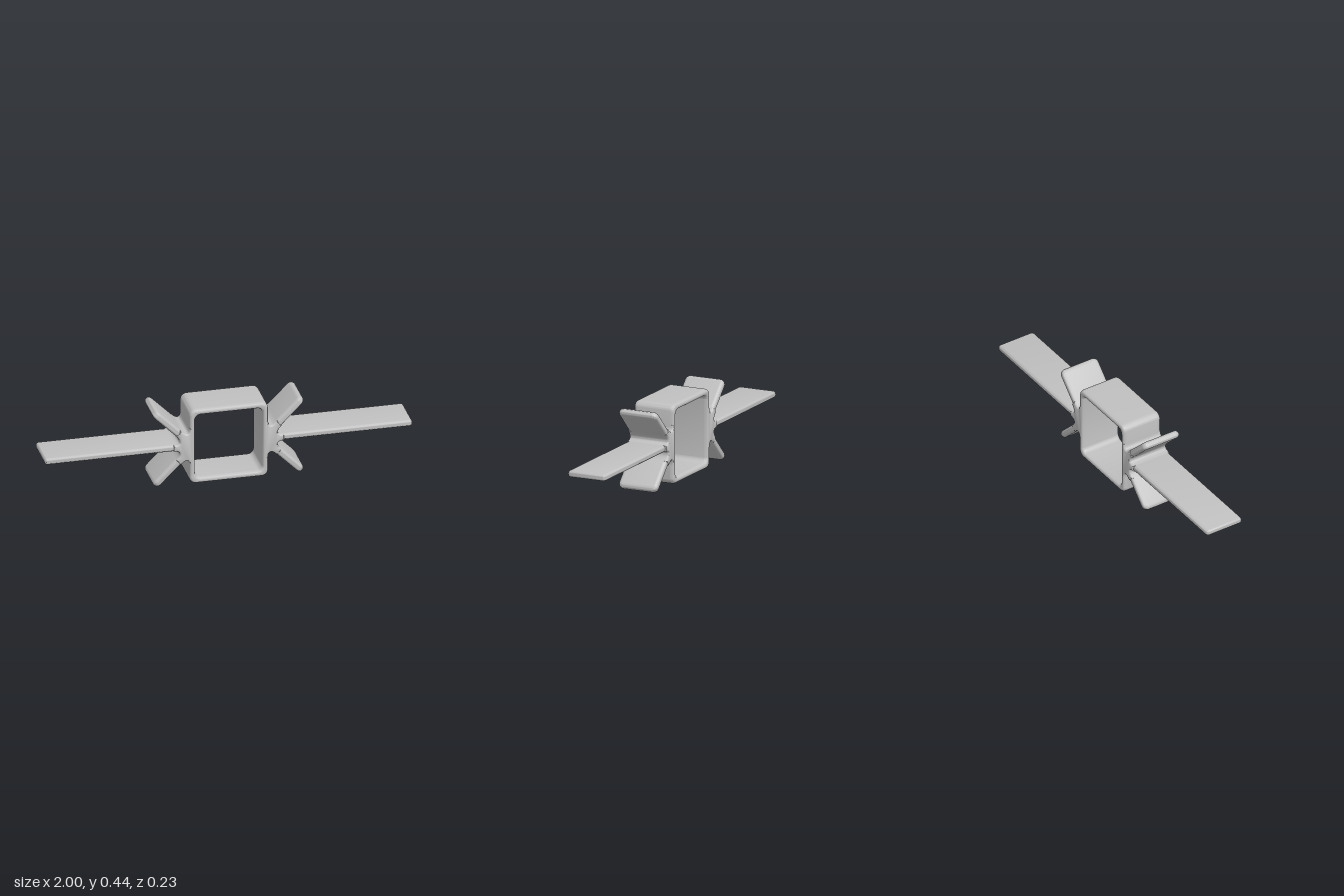
import * as THREE from 'three';
import { toCreasedNormals } from 'three/addons/utils/BufferGeometryUtils.js';

const MID = 0.218; // height of the centre line

function roundedRect(target, x0, y0, x1, y1, r) {
  target.moveTo(x0 + r, y0);
  target.lineTo(x1 - r, y0);
  target.absarc(x1 - r, y0 + r, r, -Math.PI / 2, 0);
  target.lineTo(x1, y1 - r);
  target.absarc(x1 - r, y1 - r, r, 0, Math.PI / 2);
  target.lineTo(x0 + r, y1);
  target.absarc(x0 + r, y1 - r, r, Math.PI / 2, Math.PI);
  target.lineTo(x0, y0 + r);
  target.absarc(x0 + r, y0 + r, r, Math.PI, Math.PI * 1.5);
  return target;
}

// Extrude centred on z, with a soft rim that stays inside the outline
function softExtrude(shape, depth, rimSize, rimDepth) {
  const geo = new THREE.ExtrudeGeometry(shape, {
    depth: depth - 2 * rimDepth, curveSegments: 8,
    bevelEnabled: true, bevelSegments: 5,
    bevelSize: rimSize, bevelThickness: rimDepth, bevelOffset: -rimSize,
  });
  geo.translate(0, 0, -depth / 2 + rimDepth);
  return toCreasedNormals(geo, 0.7);
}

// Flat blade lying along +x
function bladeGeometry(x0, x1, width, thickness, corner, rim) {
  const outline = roundedRect(new THREE.Shape(), x0, -width / 2, x1, width / 2, corner);
  return softExtrude(outline, thickness, rim, thickness * 0.46).rotateX(Math.PI / 2);
}

// Blended joint between frame, fins and wing
function hubGeometry() {
  const s = new THREE.Shape();
  s.moveTo(0.19, -0.11);
  s.lineTo(0.213, -0.11);
  s.quadraticCurveTo(0.214, -0.052, 0.262, -0.1);
  s.lineTo(0.288, -0.07);
  s.quadraticCurveTo(0.238, -0.019, 0.3, -0.018);
  s.lineTo(0.3, 0.018);
  s.quadraticCurveTo(0.238, 0.019, 0.288, 0.07);
  s.lineTo(0.262, 0.1);
  s.quadraticCurveTo(0.214, 0.052, 0.213, 0.11);
  s.lineTo(0.19, 0.11);
  return softExtrude(s, 0.234, 0.008, 0.016);
}

export function createModel() {
  const model = new THREE.Group();
  model.name = 'wingedFrame';
  const grey = new THREE.MeshStandardMaterial({ color: 0xc0c0c0 });
  grey.name = 'grey';

  const add = (parent, name, geometry) => {
    const mesh = new THREE.Mesh(geometry, grey);
    mesh.name = name;
    parent.add(mesh);
    return mesh;
  };

  // Open square body
  const body = roundedRect(new THREE.Shape(), -0.214, -0.216, 0.214, 0.216, 0.036);
  body.holes.push(roundedRect(new THREE.Path(), -0.183, -0.183, 0.183, 0.183, 0.03));
  add(model, 'bodyFrame', softExtrude(body, 0.234, 0.013, 0.022)).position.y = MID;

  const wing = bladeGeometry(0.2, 0.998, 0.224, 0.036, 0.016, 0.014);
  const fin = bladeGeometry(0.02, 0.3, 0.23, 0.04, 0.03, 0.02);
  const hub = hubGeometry();

  // Each side carries a long wing and two diagonal fins
  for (const side of ['left', 'right']) {
    const group = new THREE.Group();
    group.name = side + 'Side';
    group.position.y = MID;
    if (side === 'right') group.rotation.y = Math.PI;
    add(group, side + 'Wing', wing);
    add(group, side + 'Hub', hub);
    for (const [level, sign] of [['Upper', 1], ['Lower', -1]]) {
      const mesh = add(group, side + level + 'Fin', fin);
      mesh.position.x = 0.19;
      mesh.rotation.z = sign * Math.PI / 4;
    }
    model.add(group);
  }
  return model;
}
